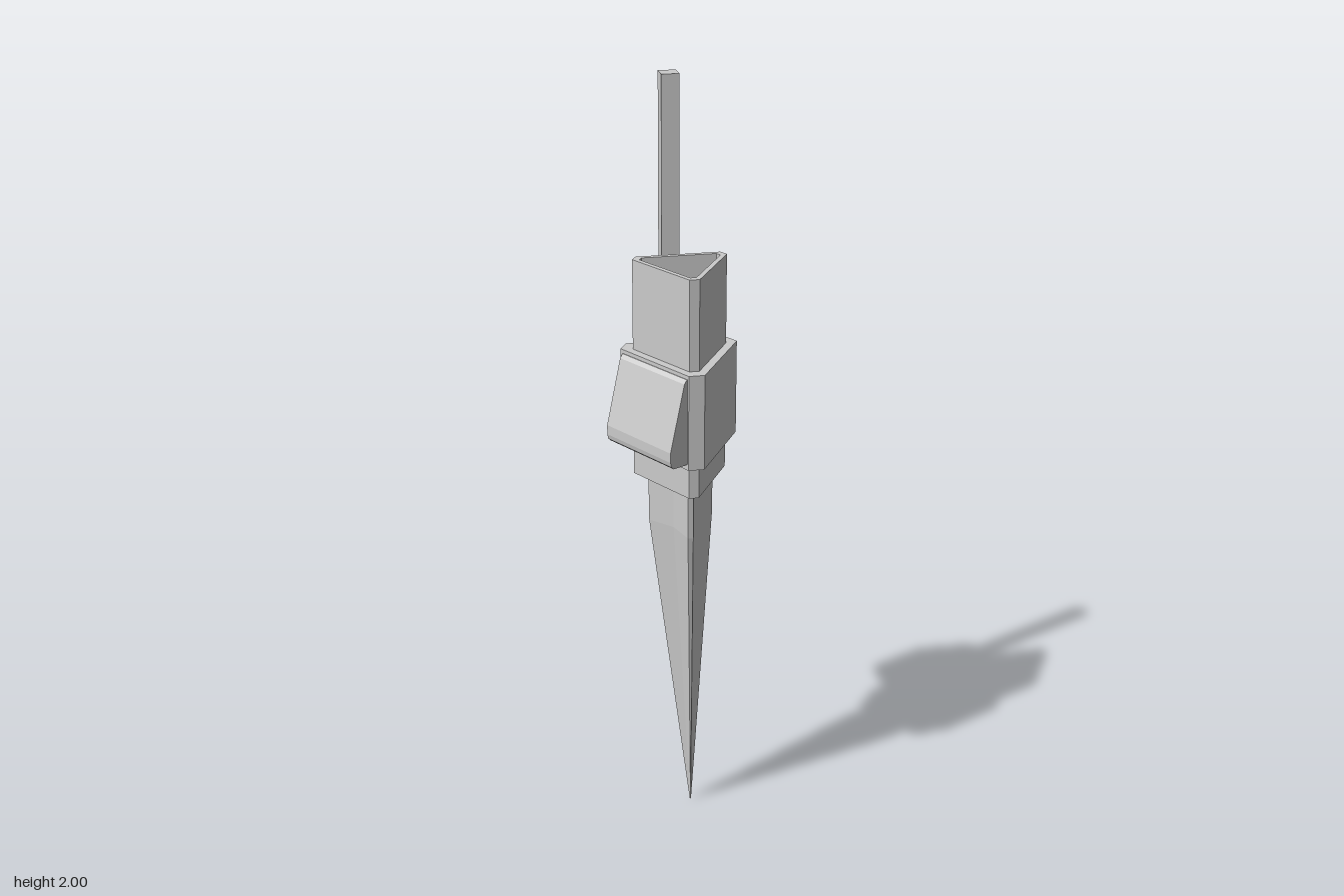
import * as THREE from 'three';

const CX = 0.05, CZ = 0.017; // axis of the triangular body
const material = new THREE.MeshStandardMaterial({ color: 0xcccccc, flatShading: true, side: THREE.DoubleSide });

function mesh(name, geometry) {
  const m = new THREE.Mesh(geometry, material);
  m.name = name;
  return m;
}

// Triangle of side s with corners cut by c, as [x, z] points; one corner points to the back.
function cutTriangle(s, c) {
  const inr = s / (2 * Math.sqrt(3)), half = s / 2 - c, pts = [];
  for (let i = 0; i < 3; i++) {
    const a = i * 2 * Math.PI / 3;
    for (const t of [-half, half]) {
      pts.push([Math.cos(a) * t + Math.sin(a) * inr, -Math.sin(a) * t + Math.cos(a) * inr]);
    }
  }
  return pts;
}
const toVectors = pts => pts.map(([x, z]) => new THREE.Vector2(x, -z));

// Upright prism from y0 to y1, optionally hollow
function prism(name, outer, y0, y1, inner) {
  const shape = new THREE.Shape(toVectors(outer));
  if (inner) shape.holes.push(new THREE.Path(toVectors(inner)));
  const g = new THREE.ExtrudeGeometry(shape, { depth: y1 - y0, bevelEnabled: false });
  g.rotateX(-Math.PI / 2).translate(CX, y0, CZ);
  return mesh(name, g);
}

// Block with a side profile (out, y), swept across the given width
function sideBlock(name, profile, width, shift) {
  const shape = new THREE.Shape(profile.map(p => new THREE.Vector2(...p)));
  const g = new THREE.ExtrudeGeometry(shape, { depth: width, bevelEnabled: false });
  g.rotateY(-Math.PI / 2).translate(width / 2 + shift, 0, 0);
  return mesh(name, g);
}

// Three-edged blade with a shallow groove along each face
function bladeGeometry() {
  const edge = cutTriangle(0.184, 0.014), section = [];
  for (let i = 0; i < 3; i++) {
    const a = i * 2 * Math.PI / 3;
    section.push(edge[2 * i], [Math.sin(a) * 0.035, Math.cos(a) * 0.035], edge[2 * i + 1]);
  }
  const levels = [[0, 0.02, -0.027], [0.85, 0.98, 0], [1.0, 1, 0]]; // y, scale, z shift
  const n = section.length, pos = [], idx = [];
  for (const [y, k, dz] of levels) {
    for (const [x, z] of section) pos.push(CX + x * k, y, CZ + z * k + dz);
  }
  for (let l = 0; l < levels.length - 1; l++) {
    for (let i = 0; i < n; i++) {
      const a = l * n + i, b = l * n + (i + 1) % n;
      idx.push(a, b, b + n, a, b + n, a + n);
    }
  }
  for (let i = 1; i < n - 1; i++) idx.push(0, i + 1, i);
  const g = new THREE.BufferGeometry();
  g.setAttribute('position', new THREE.Float32BufferAttribute(pos, 3));
  g.setIndex(idx);
  const flat = g.toNonIndexed();
  flat.computeVertexNormals();
  return flat;
}

export function createModel() {
  const model = new THREE.Group();
  model.name = 'triangularSpike';
  model.add(mesh('blade', bladeGeometry()));

  // Hollow triangular body with a stepped filling, and the collar around it
  const bore = cutTriangle(0.22, 0.015);
  model.add(prism('bodyTube', cutTriangle(0.265, 0.025), 0.98, 1.555, bore));
  model.add(prism('tubeFloor', bore, 0.985, 1.4));
  model.add(prism('tubeCore', cutTriangle(0.215, 0.075), 1.39, 1.49));
  model.add(prism('collar', cutTriangle(0.34, 0.04), 1.07, 1.32));

  // Sloping pouch on the front face
  const front = new THREE.Group();
  front.name = 'frontPouch';
  front.position.set(CX, 0, CZ);
  front.add(sideBlock('pouchBody', [
    [0.09, 1.085], [0.142, 1.085], [0.15, 1.092], [0.153, 1.105],
    [0.153, 1.13], [0.108, 1.3], [0.1, 1.31], [0.09, 1.31],
  ], 0.245, 0.0025));
  model.add(front);

  // Box and rod on the back right face
  const pod = new THREE.Group();
  pod.name = 'sidePod';
  pod.position.set(CX, 0, CZ);
  pod.rotation.y = -2 * Math.PI / 3;
  pod.add(sideBlock('podBody', [
    [0.09, 1.075], [0.23, 1.075], [0.24, 1.08], [0.243, 1.09],
    [0.243, 1.305], [0.237, 1.322], [0.222, 1.332], [0.09, 1.332],
  ], 0.164, 0.005));
  const rod = mesh('rod', new THREE.BoxGeometry(0.045, 0.72, 0.045));
  rod.position.set(0.013, 1.64, 0.131);
  pod.add(rod);
  model.add(pod);
  return model;
}
